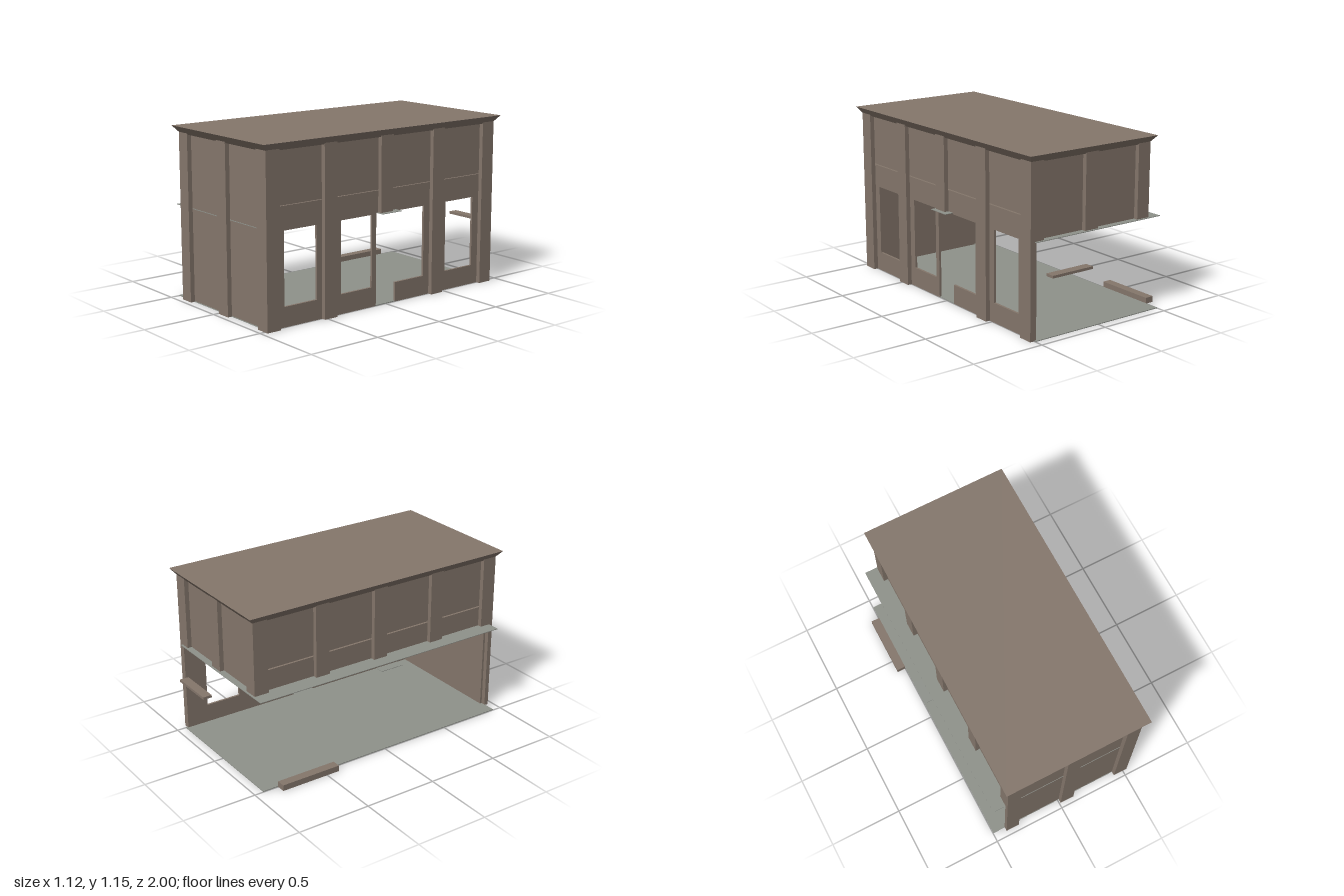
import * as THREE from 'three';

export function createModel() {
  const group = new THREE.Group();
  const brown = new THREE.MeshStandardMaterial({ color: 0x84766b });
  brown.name = 'brown masonry';
  const grey = new THREE.MeshStandardMaterial({ color: 0x8e918a });
  grey.name = 'grey concrete';

  const add = (name, geometry, material) => {
    const mesh = new THREE.Mesh(geometry, material);
    mesh.name = name;
    group.add(mesh);
    return mesh;
  };
  // Box from opposite limits on each axis
  const box = (name, material, [x0, x1], [y0, y1], [z0, z1]) =>
    add(name, new THREE.BoxGeometry(Math.abs(x1 - x0), y1 - y0, Math.abs(z1 - z0)), material)
      .position.set((x0 + x1) / 2, (y0 + y1) / 2, (z0 + z1) / 2);

  const CX = 0.06, CZ = 0.02;     // centre of the building block
  const HX = 0.47, HZ = 0.945;    // half sizes to the pilaster faces
  const RELIEF = 0.03, SKIN = 0.015;
  const TOP = 1.11, STOREY = 0.62, DOOR = 0.615;

  // Floors
  box('groundFloor', grey, [-0.498, 0.498], [0, 0.005], [-0.938, 0.938]);
  box('upperFloor', grey, [-0.498, 0.498], [0.618, 0.622], [-0.938, 0.938]);

  // Ground storey of the long wall, with a doorway joined to one window
  const wall = new THREE.Shape([
    [-0.94, 0], [-0.085, 0], [-0.085, DOOR], [0.08, DOOR], [0.08, 0.605], [0.325, 0.605],
    [0.325, 0.13], [0.08, 0.13], [0.08, 0], [0.90, 0], [0.90, 0.757], [-0.94, 0.757],
  ].map(([u, y]) => new THREE.Vector2(u, y)));
  for (const [a, b] of [[-0.815, -0.565], [-0.375, -0.12], [0.52, 0.77]]) {
    wall.holes.push(new THREE.Path([
      new THREE.Vector2(a, 0.13), new THREE.Vector2(a, 0.605),
      new THREE.Vector2(b, 0.605), new THREE.Vector2(b, 0.13),
    ]));
  }
  const wallGeometry = new THREE.ExtrudeGeometry(wall, { depth: SKIN, bevelEnabled: false });
  wallGeometry.rotateY(Math.PI / 2);
  add('windowWall', wallGeometry, brown).position.x = CX + HX - RELIEF - SKIN;

  // Long sides: pilasters, bands and recessed panels; the left one is open below
  for (const s of [1, -1]) {
    const outer = CX + s * HX;
    const face = outer - s * RELIEF;
    const inner = face - s * SKIN;
    const span = [CZ - HZ + RELIEF, CZ + HZ - RELIEF];
    const base = s > 0 ? 0 : STOREY;
    for (const [z0, z1] of [[0.865, 0.965], [0.425, 0.525], [-0.03, 0.07], [-0.475, -0.375], [-0.925, -0.825]]) {
      const bottom = z0 === -0.03 ? Math.max(base, DOOR) : base;
      box('sidePilaster', brown, [face, outer], [bottom, TOP], [z0, z1]);
    }
    if (s < 0) box('lowerBand', brown, [inner, face], [STOREY, 0.757], span);
    box('recessedPanel', brown, [inner - s * 0.006, inner], [0.75, 1.01], span);
    box('upperBand', brown, [inner, face], [1.0, TOP], span);
    // Thin canopy at mid length
    box('doorCanopy', grey, [s * 0.5, s * 0.56], [0.612, DOOR], [-0.08, 0.083]);
  }

  // Short ends: plain wall with three pilasters; the back is open below
  for (const s of [1, -1]) {
    const outer = CZ + s * HZ;
    const face = outer - s * RELIEF;
    const base = s > 0 ? 0 : STOREY;
    box('endWall', brown, [CX - HX + RELIEF, CX + HX - RELIEF], [base, TOP], [face - s * SKIN, face]);
    for (const [x0, x1] of [[-0.41, -0.315], [0.01, 0.11], [0.43, 0.53]]) {
      box('endPilaster', brown, [x0, x1], [base, TOP], [face, outer]);
    }
  }

  // Back corner of the open storey keeps its full-height pilaster end
  box('backCornerPost', brown, [0.485, 0.53], [0, STOREY], [-0.925, -0.9]);

  // Flared cornice and flat roof: a box whose lower corners are drawn in
  const low = 1.1, high = 1.15, flare = 0.0375;
  const roof = new THREE.BoxGeometry(2 * (HX + 0.03), high - low, 2 * (HZ + 0.035));
  const p = roof.attributes.position;
  for (let i = 0; i < p.count; i++) {
    if (p.getY(i) < 0) {
      p.setX(i, p.getX(i) - Math.sign(p.getX(i)) * flare);
      p.setZ(i, p.getZ(i) - Math.sign(p.getZ(i)) * (flare + 0.005));
    }
  }
  roof.computeVertexNormals();
  add('corniceRoof', roof, brown).position.set(CX, (low + high) / 2, CZ);

  // Loose step on the left and shelf at the back
  box('sideStep', brown, [-0.56, -0.5], [0, 0.04], [-0.83, -0.41]);
  box('backShelf', brown, [0.11, 0.42], [0.4, 0.417], [-1.0, -0.938]);

  return group;
}
